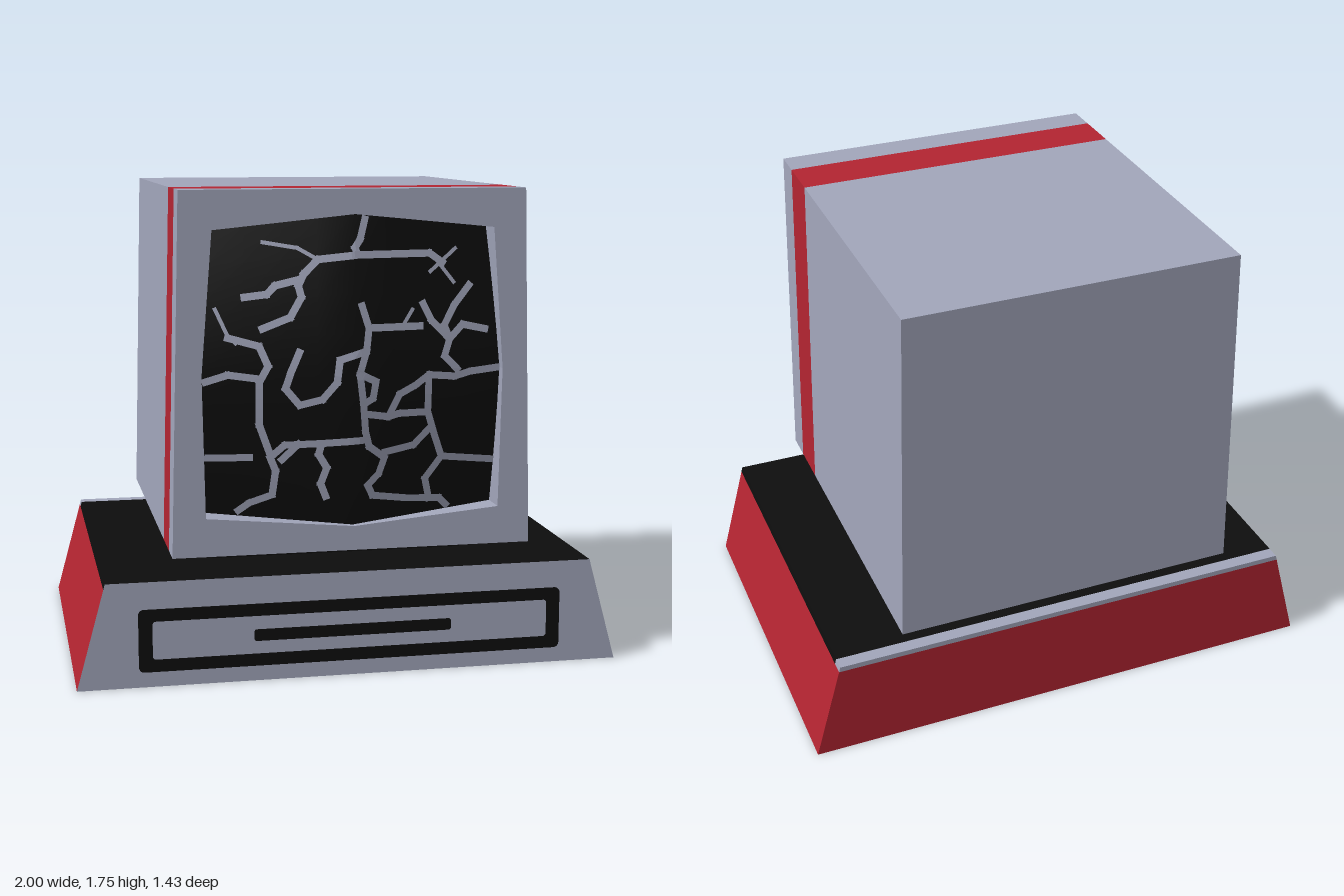
import * as THREE from 'three';

const grey = new THREE.MeshStandardMaterial({ color: 0xa2a6bb });
grey.name = 'blue grey plastic';
const red = new THREE.MeshStandardMaterial({ color: 0xb32431 });
red.name = 'red trim';
const black = new THREE.MeshStandardMaterial({ color: 0x0d0d0d });
black.name = 'black';

const BACK = -0.715, FRONT = 0.675;

// Box from y0 to y1 and z0 to z1 whose half width goes from w0 (bottom) to w1 (top)
function taperedBox(name, material, w0, w1, y0, y1, z0, z1) {
  const geo = new THREE.BoxGeometry(2, y1 - y0, z1 - z0);
  geo.translate(0, (y0 + y1) / 2, (z0 + z1) / 2);
  const p = geo.attributes.position;
  for (let i = 0; i < p.count; i++) {
    p.setX(i, p.getX(i) * (p.getY(i) > (y0 + y1) / 2 ? w1 : w0));
  }
  geo.computeVertexNormals();
  const mesh = new THREE.Mesh(geo, material);
  mesh.name = name;
  return mesh;
}

function polygon(points, Type = THREE.Shape) {
  return new Type(points.map(([x, y]) => new THREE.Vector2(x, y)));
}

function roundedRect(x, y0, y1, r, Type = THREE.Shape) {
  const s = new Type();
  s.absarc(x - r, y1 - r, r, 0, Math.PI / 2);
  s.absarc(-x + r, y1 - r, r, Math.PI / 2, Math.PI);
  s.absarc(-x + r, y0 + r, r, Math.PI, Math.PI * 1.5);
  s.absarc(x - r, y0 + r, r, Math.PI * 1.5, Math.PI * 2);
  s.closePath();
  return s;
}

function extruded(name, shape, material, z, depth) {
  const geo = new THREE.ExtrudeGeometry(shape, { depth, bevelEnabled: false, curveSegments: 4 });
  geo.translate(0, 0, z);
  const mesh = new THREE.Mesh(geo, material);
  mesh.name = name;
  return mesh;
}

// Screen dome: u and v run from -1 to 1 across the glass
const MID = 1.11;
const domeZ = (u, v) => 0.715 - 0.08 * Math.abs(u) - 0.065 * Math.abs(v) ** 1.5;
const domeX = (u, v) => u * (0.545 - (v > 0 ? 0.04 * v : -0.01 * v));
const domeY = (u, v) => MID + v * (0.557 - 0.05 * Math.abs(u));

function screenGlass() {
  const geo = new THREE.PlaneGeometry(2, 2, 8, 8);
  const p = geo.attributes.position;
  for (let i = 0; i < p.count; i++) {
    const u = p.getX(i), v = p.getY(i);
    p.setXYZ(i, domeX(u, v), domeY(u, v), domeZ(u, v));
  }
  geo.computeVertexNormals();
  const mesh = new THREE.Mesh(geo, black);
  mesh.name = 'screenGlass';
  return mesh;
}

// Flat ribbon along a path of x, y pairs, draped just over the glass
function crack(path, width) {
  const pos = [];
  const put = (x, y) => {
    const u = x / 0.54;
    const v = (y - MID) / (0.557 - 0.05 * Math.abs(u));
    pos.push(x, y, domeZ(u, v) + 0.004);
  };
  for (let i = 0; i + 3 < path.length; i += 2) {
    const a = new THREE.Vector2(path[i], path[i + 1]);
    const b = new THREE.Vector2(path[i + 2], path[i + 3]);
    const dir = b.clone().sub(a).normalize();
    a.addScaledVector(dir, -width * 0.4);
    b.addScaledVector(dir, width * 0.4);
    const nx = -dir.y * width / 2, ny = dir.x * width / 2;
    const n = Math.ceil(a.distanceTo(b) / 0.04);
    for (let k = 0; k < n; k++) {
      const s = a.clone().lerp(b, k / n), e = a.clone().lerp(b, (k + 1) / n);
      put(s.x - nx, s.y - ny); put(e.x - nx, e.y - ny); put(e.x + nx, e.y + ny);
      put(s.x - nx, s.y - ny); put(e.x + nx, e.y + ny); put(s.x + nx, s.y + ny);
    }
  }
  const geo = new THREE.BufferGeometry();
  geo.setAttribute('position', new THREE.Float32BufferAttribute(pos, 3));
  geo.computeVertexNormals();
  const mesh = new THREE.Mesh(geo, grey);
  mesh.name = 'screenCrack';
  return mesh;
}

function buildCracks() {
  const g = new THREE.Group();
  g.name = 'screenCracks';
  const wide = (...path) => g.add(crack(path, 0.026));
  const fine = (...path) => g.add(crack(path, 0.014));
  // upper area
  wide(0.04, 1.65, 0.02, 1.58, 0, 1.55, 0.01, 1.525, 0.28, 1.525, 0.33, 1.49);
  wide(0.01, 1.525, -0.13, 1.51, -0.18, 1.46, -0.2, 1.42, -0.19, 1.38, -0.23, 1.31, -0.33, 1.27);
  fine(-0.32, 1.57, -0.2, 1.55, -0.13, 1.51);
  wide(-0.39, 1.38, -0.31, 1.39, -0.28, 1.42, -0.2, 1.44);
  fine(0.38, 1.54, 0.33, 1.5, 0.28, 1.46);
  fine(0.29, 1.52, 0.37, 1.42);
  // right side
  wide(0.43, 1.41, 0.37, 1.34, 0.33, 1.27, 0.35, 1.22, 0.28, 1.29, 0.25, 1.35);
  wide(0.35, 1.22, 0.4, 1.27, 0.49, 1.25);
  wide(0.35, 1.22, 0.33, 1.16, 0.38, 1.11);
  wide(0.54, 1.11, 0.43, 1.1, 0.37, 1.085, 0.27, 1.095, 0.22, 1.06, 0.16, 1.03, 0.12, 0.95);
  // centre
  wide(0.02, 1.35, 0.045, 1.27, 0.035, 1.19, 0.01, 1.11, 0.025, 1.0, 0.035, 0.9, 0.05, 0.845);
  wide(0.045, 1.27, 0.24, 1.27);
  fine(0.17, 1.27, 0.21, 1.33);
  wide(0.035, 1.19, -0.06, 1.16, -0.07, 1.08, -0.12, 1.02, -0.2, 1.0, -0.25, 1.06, -0.23, 1.12, -0.2, 1.19);
  wide(0.01, 1.11, 0.07, 1.08, 0.06, 1.02, 0.025, 1.0);
  wide(0.03, 0.965, 0.12, 0.95, 0.16, 0.96, 0.27, 0.96, 0.27, 1.09);
  // left side
  fine(-0.49, 1.34, -0.45, 1.25, -0.42, 1.22);
  wide(-0.45, 1.24, -0.34, 1.21, -0.31, 1.14, -0.34, 1.085, -0.34, 0.93, -0.3, 0.82);
  wide(-0.53, 1.085, -0.45, 1.11, -0.34, 1.095);
  wide(-0.52, 0.81, -0.37, 0.81);
  // lower area
  wide(-0.41, 0.61, -0.37, 0.64, -0.29, 0.67, -0.28, 0.76, -0.3, 0.81, -0.25, 0.855, -0.12, 0.86, 0.04, 0.87);
  wide(-0.12, 0.86, -0.13, 0.82, -0.1, 0.77, -0.12, 0.71, -0.1, 0.66);
  wide(-0.2, 0.86, -0.26, 0.8);
  wide(0.05, 0.845, 0.11, 0.8, 0.09, 0.74, 0.05, 0.7, 0.07, 0.66, 0.2, 0.64, 0.33, 0.63, 0.36, 0.6);
  wide(0.27, 0.96, 0.3, 0.87, 0.33, 0.79, 0.53, 0.765);
  wide(0.33, 0.79, 0.27, 0.71, 0.29, 0.63);
  wide(0.28, 0.9, 0.22, 0.84, 0.11, 0.82);
  return g;
}

export function createModel() {
  const model = new THREE.Group();
  model.name = 'oldComputer';

  // Base: red shell with a grey front, black lid and grey rear strip
  const base = new THREE.Group();
  base.name = 'base';
  base.add(
    taperedBox('baseShell', [red, red, red, red, grey, red], 1, 0.9, 0, 0.365, BACK, FRONT),
    taperedBox('baseLid', [black, black, black, black, grey, black], 0.9, 0.895, 0.365, 0.385, -0.665, FRONT),
    taperedBox('rearStrip', grey, 0.9, 0.895, 0.365, 0.385, BACK, -0.665));

  // Drive panel painted on the base front
  const frame = roundedRect(0.78, 0.055, 0.285, 0.02);
  frame.holes.push(roundedRect(0.73, 0.1, 0.24, 0.012, THREE.Path));
  base.add(
    extruded('driveFrame', frame, black, FRONT, 0.002),
    extruded('driveSlot', roundedRect(0.365, 0.147, 0.19, 0.01), black, FRONT, 0.002));

  // Neck with a thin red line along the top of its front
  const neck = new THREE.Group();
  neck.name = 'neck';
  neck.add(
    taperedBox('neckBlock', black, 0.475, 0.465, 0.385, 0.465, -0.43, 0.388),
    taperedBox('neckTrim', red, 0.466, 0.465, 0.455, 0.465, 0.388, 0.39));

  // Monitor case: rear body, red band and bezel
  const monitor = new THREE.Group();
  monitor.name = 'monitor';
  const Y0 = 0.465, Y1 = 1.755, W0 = 0.655, W1 = 0.62;
  const bezel = polygon([[-W0, Y0], [W0, Y0], [W1, Y1], [-W1, Y1]]);
  const rim = [[-1, -1], [-1, 0], [-1, 1], [0, 1], [1, 1], [1, 0], [1, -1], [0, -1]];
  bezel.holes.push(polygon(rim.map(([u, v]) => [domeX(u, v), domeY(u, v)]), THREE.Path));
  monitor.add(
    taperedBox('caseBody', grey, W0, W1, Y0, Y1, BACK, 0.385),
    taperedBox('redBand', [red, red, red, grey, red, red], W0, W1, Y0, Y1, 0.385, 0.56),
    extruded('bezel', bezel, grey, 0.56, FRONT - 0.56),
    screenGlass(),
    buildCracks());

  model.add(base, neck, monitor);
  return model;
}
